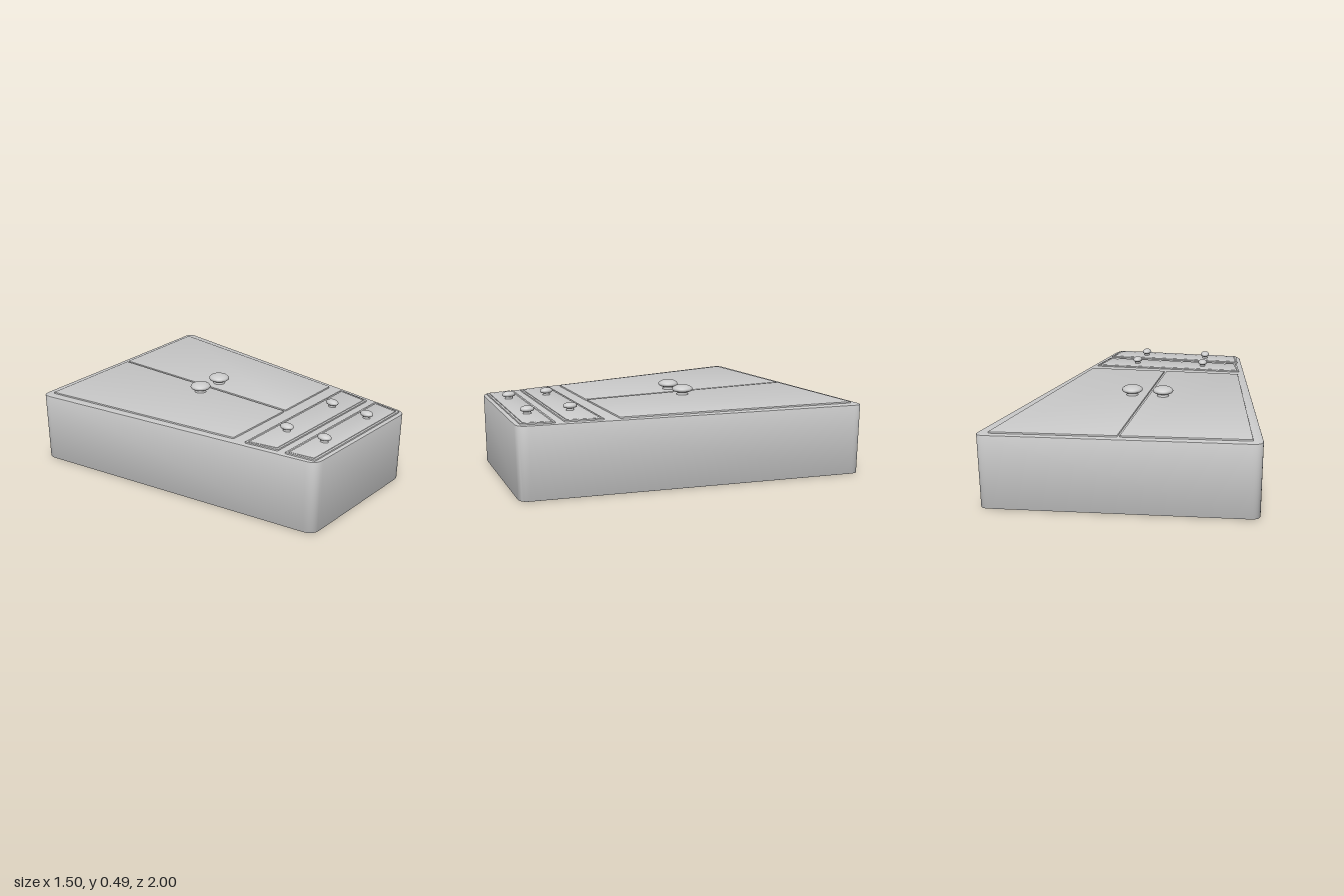
import * as THREE from 'three';
import { toCreasedNormals } from 'three/addons/utils/BufferGeometryUtils.js';

const material = new THREE.MeshStandardMaterial({ color: 0xcccccc });

// Traces a round-cornered polygon given as [x, z] corners.
function trace(path, corners, radius) {
  const pts = corners.map(([x, z]) => new THREE.Vector2(x, -z));
  pts.forEach((p, i) => {
    const toward = (q) => p.clone().add(q.clone().sub(p).setLength(radius));
    const a = toward(pts[(i + pts.length - 1) % pts.length]);
    const b = toward(pts[(i + 1) % pts.length]);
    if (i === 0) path.moveTo(a.x, a.y);
    else path.lineTo(a.x, a.y);
    path.quadraticCurveTo(p.x, p.y, b.x, b.y);
  });
  path.closePath();
  return path;
}

// Moves the corners of a quad inward by d.
function inset(corners, d) {
  const cx = corners.reduce((s, c) => s + c[0], 0) / 4;
  const cz = corners.reduce((s, c) => s + c[1], 0) / 4;
  return corners.map(([x, z]) => [x - Math.sign(x - cx) * d, z - Math.sign(z - cz) * d]);
}

// Upright slab between two heights, with an optional cut-out.
function slab(name, corners, y0, y1, radius, bevel, hole) {
  const shape = trace(new THREE.Shape(), corners, radius);
  if (hole) shape.holes.push(trace(new THREE.Path(), hole, radius));
  const geo = new THREE.ExtrudeGeometry(shape, {
    depth: y1 - y0 - 2 * bevel, curveSegments: 8,
    bevelEnabled: bevel > 0, bevelThickness: bevel, bevelSize: bevel,
    bevelOffset: -bevel, bevelSegments: 2,
  });
  geo.rotateX(-Math.PI / 2);
  geo.translate(0, y0 + bevel, 0);
  const mesh = new THREE.Mesh(toCreasedNormals(geo, 0.6), material);
  mesh.name = name;
  return mesh;
}

// Mushroom-shaped knob: flared stem under a flattened cap.
const knobCurve = new THREE.SplineCurve([
  [0.55, 0.16], [0.9, 0.3], [1, 0.5], [0.9, 0.72], [0.55, 0.92], [0, 1],
].map(([x, y]) => new THREE.Vector2(x, y)));
const knobProfile = [
  new THREE.Vector2(0.58, -0.15), new THREE.Vector2(0.52, 0.05),
  ...knobCurve.getPoints(18),
];
knobProfile[knobProfile.length - 1].x = 0;
const knobGeometry = new THREE.LatheGeometry(knobProfile, 32);

function knob(name, x, z, y0, y1, rx, rz, turn) {
  const mesh = new THREE.Mesh(knobGeometry, material);
  mesh.name = name;
  mesh.scale.set(rx, y1 - y0, rz);
  mesh.position.set(x, y0, z);
  mesh.rotation.y = turn;
  return mesh;
}

export function createModel() {
  const model = new THREE.Group();
  model.name = 'wardrobe';
  const top = 0.422;

  // Skewed cabinet lying on its back
  model.add(slab('cabinetBody',
    [[-0.762, -0.835], [0.757, -1.01], [0.473, 1], [-0.427, 1]], 0, top, 0.06, 0.004));

  // Doors, with a narrow gap between them
  model.add(slab('rightDoor',
    [[-0.7, -0.795], [-0.009, -0.88], [0.006, 0.463], [-0.475, 0.483]], top - 0.02, 0.431, 0.01, 0.004));
  model.add(slab('leftDoor',
    [[0.003, -0.882], [0.69, -0.965], [0.515, 0.435], [0.019, 0.461]], top - 0.02, 0.431, 0.01, 0.004));
  model.add(knob('rightDoorKnob', -0.088, -0.12, 0.438, 0.491, 0.062, 0.061, 0));
  model.add(knob('leftDoorKnob', 0.1, -0.133, 0.438, 0.491, 0.062, 0.064, 0));

  // Drawers: a raised rim around an inner panel, with two knobs each
  const drawers = [
    { name: 'upperDrawer', knobs: [[-0.212, 0.647], [0.246, 0.636]],
      corners: [[-0.475, 0.562], [0.508, 0.522], [0.473, 0.737], [-0.437, 0.757]] },
    { name: 'lowerDrawer', knobs: [[-0.193, 0.885], [0.234, 0.881]],
      corners: [[-0.437, 0.803], [0.476, 0.787], [0.446, 0.973], [-0.408, 0.977]] },
  ];
  for (const { name, corners, knobs } of drawers) {
    const drawer = new THREE.Group();
    drawer.name = name;
    drawer.add(slab(name + 'Rim', corners, top - 0.02, 0.43, 0.008, 0.002, inset(corners, 0.011)));
    drawer.add(slab(name + 'Panel', inset(corners, 0.016), top - 0.02, 0.431, 0.008, 0.003));
    knobs.forEach(([x, z], i) => drawer.add(
      knob(name + (i ? 'LeftKnob' : 'RightKnob'), x, z, 0.437, 0.476, 0.03, 0.04, i ? -0.1 : 0.1)));
    model.add(drawer);
  }
  return model;
}
